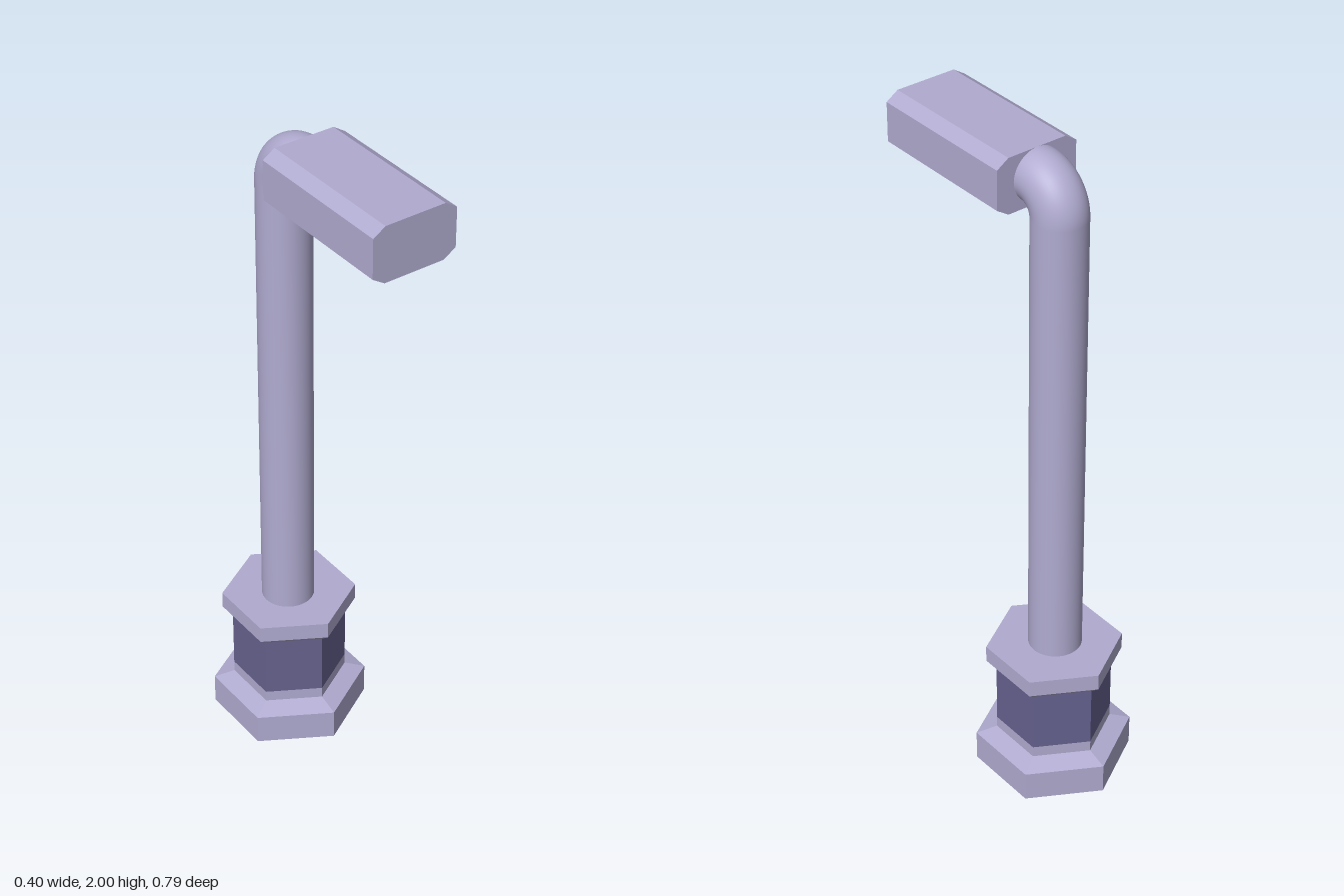
import * as THREE from 'three';

const light = new THREE.MeshStandardMaterial({ color: 0xb0abd0 });
const lightFlat = new THREE.MeshStandardMaterial({ color: 0xb0abd0, flatShading: true });
const darkFlat = new THREE.MeshStandardMaterial({ color: 0x66628f, flatShading: true });

const POST_X = -0.005, POST_Z = -0.165, POST_R = 0.078;
const BEND_Y = 1.835, BEND_R = 0.087, HEAD_BACK = -0.074, HEAD_FRONT = 0.396;

function add(group, name, geometry, material) {
  const mesh = new THREE.Mesh(geometry, material);
  mesh.name = name;
  group.add(mesh);
  return mesh;
}

// Six-sided solid from [radius, height] pairs, listed bottom to top, corner towards +z
function hexSolid(group, name, profile, material) {
  const points = profile.map(([r, y]) => new THREE.Vector2(r, y));
  const geometry = new THREE.LatheGeometry(points, 6).toNonIndexed();
  geometry.computeVertexNormals();
  add(group, name, geometry, material).position.z = -0.168;
}

export function createModel() {
  const model = new THREE.Group();
  model.name = 'lampPost';

  // Hexagonal pedestal: foot, dark band and flared collar
  hexSolid(model, 'foot', [[0, 0], [0.23, 0], [0.23, 0.095], [0.169, 0.115], [0.169, 0.15]], lightFlat);
  hexSolid(model, 'darkBand', [[0.169, 0.15], [0.169, 0.345]], darkFlat);
  hexSolid(model, 'collar', [[0.169, 0.345], [0.199, 0.372], [0.199, 0.424], [0, 0.424]], lightFlat);

  // Round post with an elbow turning forward
  const postHeight = BEND_Y - 0.42;
  const post = add(model, 'post',
    new THREE.CylinderGeometry(POST_R, POST_R, postHeight, 48, 1, true), light);
  post.position.set(POST_X, 0.42 + postHeight / 2, POST_Z);

  const elbow = add(model, 'elbow',
    new THREE.TorusGeometry(BEND_R, POST_R, 48, 24, Math.PI / 2), light);
  elbow.rotation.y = Math.PI / 2;
  elbow.position.set(POST_X, BEND_Y, POST_Z + BEND_R);

  // Short stub joining the elbow to the head
  const stub = add(model, 'stub', new THREE.CylinderGeometry(POST_R, POST_R, 0.03, 48), light);
  stub.rotation.x = Math.PI / 2;
  stub.position.set(POST_X, BEND_Y + BEND_R, POST_Z + BEND_R + 0.015);

  // Lamp head: a bar with chamfered edges
  const w = 0.13, cx = 0.037, bottom = 1.835, top = 2, cy = 0.024;
  const section = new THREE.Shape([
    [-w + cx, bottom], [w - cx, bottom], [w, bottom + cy], [w, top - cy],
    [w - cx, top], [-w + cx, top], [-w, top - cy], [-w, bottom + cy],
  ].map(([x, y]) => new THREE.Vector2(x, y)));
  const head = add(model, 'lampHead',
    new THREE.ExtrudeGeometry(section, { depth: HEAD_FRONT - HEAD_BACK, bevelEnabled: false }), lightFlat);
  head.position.set(-0.003, 0, HEAD_BACK);

  return model;
}
